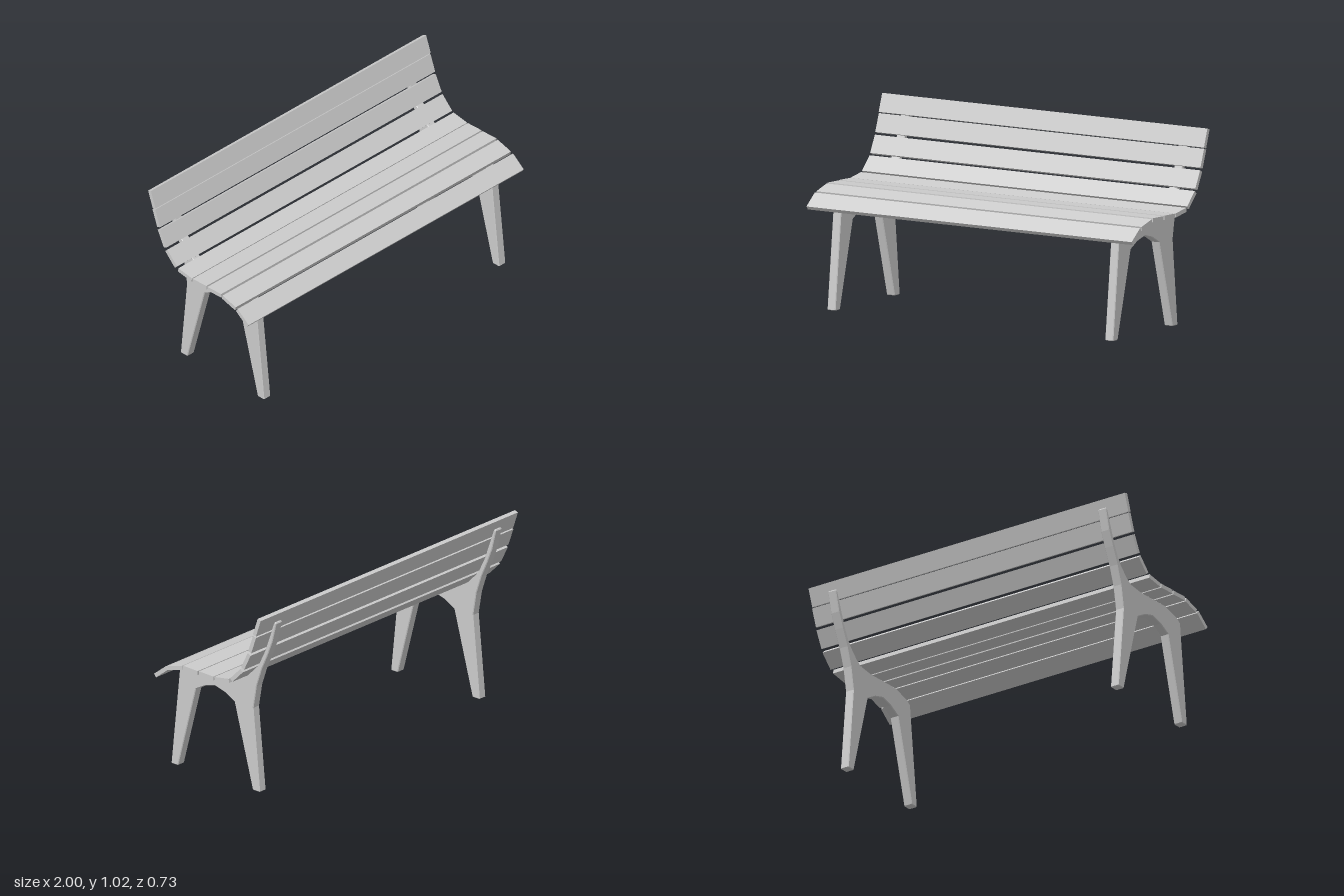
import * as THREE from 'three';

const material = new THREE.MeshStandardMaterial({ color: 0xcccccc, flatShading: true });

// Slat centres and tilt, front of seat to top of back: [name, z, y, degrees]
const SLATS = [
  ['seatSlat', 0.322, 0.552, 38],
  ['seatSlat', 0.224, 0.599, 15.5],
  ['seatSlat', 0.119, 0.614, -2],
  ['seatSlat', 0.011, 0.612, -2],
  ['seatSlat', -0.095, 0.618, 9],
  ['backSlat', -0.196, 0.67, 45],
  ['backSlat', -0.261, 0.764, 63.5],
  ['backSlat', -0.304, 0.87, 70],
  ['backSlat', -0.336, 0.971, 71],
];

// Side frame outline as [z, y]
const FRAME = [
  // front foot and arch between the legs
  [0.358, 0.003], [0.354, 0], [0.316, 0], [0.311, 0.003],
  [0.19, 0.455], [0.125, 0.49], [0.056, 0.508], [-0.01, 0.49], [-0.075, 0.455],
  // rear foot and back edge
  [-0.199, 0.003], [-0.203, 0], [-0.246, 0], [-0.249, 0.003],
  [-0.204, 0.455], [-0.226, 0.58], [-0.26, 0.68], [-0.301, 0.77], [-0.333, 0.85],
  [-0.361, 0.96], [-0.358, 0.966], [-0.35, 0.967],
  // edge carrying the back slats, then the seat slats
  [-0.341, 0.95], [-0.319, 0.89], [-0.285, 0.8], [-0.243, 0.715], [-0.155, 0.625],
  [-0.14, 0.615], [-0.05, 0.603], [0.06, 0.605], [0.165, 0.607], [0.268, 0.578], [0.298, 0.556],
];

function createFrame(x) {
  const bevel = 0.004;
  const shape = new THREE.Shape(FRAME.map(([z, y]) => new THREE.Vector2(z, y)));
  const geometry = new THREE.ExtrudeGeometry(shape, {
    depth: 0.05 - 2 * bevel,
    bevelThickness: bevel,
    bevelSize: bevel,
    bevelOffset: -bevel,
    bevelSegments: 1,
  });
  geometry.translate(0, 0, bevel - 0.025);
  geometry.rotateY(-Math.PI / 2);
  const frame = new THREE.Mesh(geometry, material);
  frame.position.x = x;
  return frame;
}

export function createModel() {
  const bench = new THREE.Group();
  bench.name = 'bench';

  // Long slats following the seat and back curve
  const slatGeometry = new THREE.BoxGeometry(2, 0.022, 0.1);
  SLATS.forEach(([name, z, y, tilt], i) => {
    const slat = new THREE.Mesh(slatGeometry, material);
    slat.name = name + (i + 1);
    slat.position.set(0, y, z);
    slat.rotation.x = THREE.MathUtils.degToRad(tilt);
    bench.add(slat);
  });

  // A pair of one-piece frames: legs, seat bearer and back support
  for (const [name, side] of [['leftFrame', 1], ['rightFrame', -1]]) {
    const frame = createFrame(side * 0.854);
    frame.name = name;
    bench.add(frame);
  }
  return bench;
}
